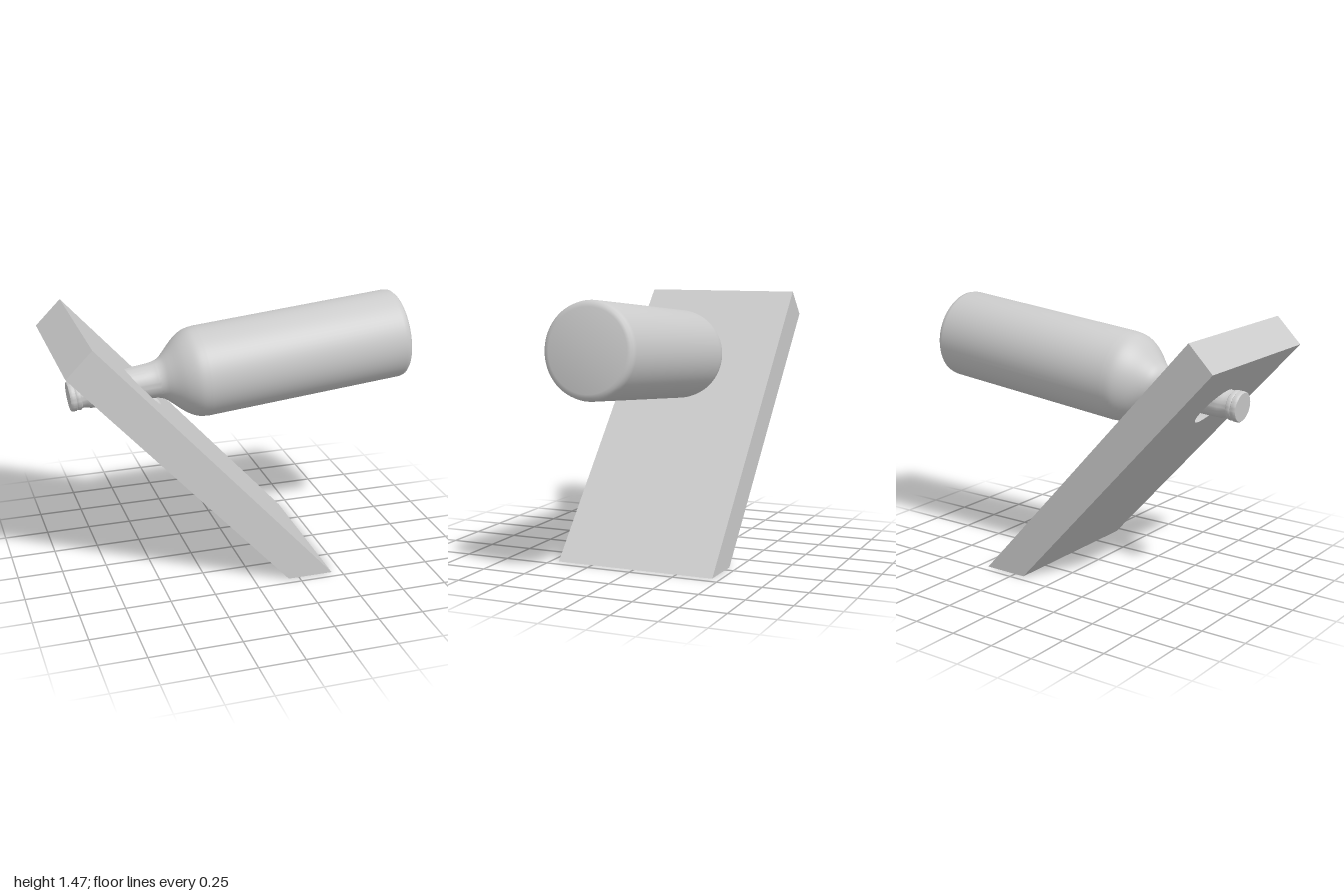
import * as THREE from 'three';
import { toCreasedNormals } from 'three/addons/utils/BufferGeometryUtils.js';

const TILT = THREE.MathUtils.degToRad(5.45); // bottle axis above horizontal
const SLOPE = Math.tan(TILT);
const HALF_WIDTH = 0.455;

// Board faces in side profile, each from foot to top: [x, y]
const FRONT = [[0.445, 0], [-0.86, 1.45]];
const BACK = [[0.19, 0], [-1, 1.31]];

// Point where a line parallel to the bottle axis, at height h over x = 0, meets a board face
function meetFace([[x0, y0], [x1, y1]], h) {
  const m = (y1 - y0) / (x1 - x0);
  const x = (h - y0 + m * x0) / (m - SLOPE);
  return [x, h + SLOPE * x];
}

// Leaning board with a round hole bored along the bottle axis
function makeBoard(material) {
  const shape = new THREE.Shape();
  shape.moveTo(-HALF_WIDTH, 0);
  shape.lineTo(HALF_WIDTH, 0);
  shape.lineTo(HALF_WIDTH, 1.5);
  shape.lineTo(-HALF_WIDTH, 1.5);
  shape.closePath();
  shape.holes.push(new THREE.Path().absarc(0, 1.097, 0.11, 0, Math.PI * 2, true));

  const geometry = new THREE.ExtrudeGeometry(shape, { depth: 1, bevelEnabled: false, curveSegments: 24 });
  const p = geometry.attributes.position;
  for (let i = 0; i < p.count; i++) {
    const across = p.getX(i), h = p.getY(i);
    const face = p.getZ(i) > 0.5 ? FRONT : BACK;
    const isCorner = Math.abs(across) > 0.4;
    const [x, y] = isCorner ? face[h > 0.75 ? 1 : 0] : meetFace(face, h);
    p.setXYZ(i, x, y, -across);
  }
  const mesh = new THREE.Mesh(toCreasedNormals(geometry, 0.5), material);
  mesh.name = 'leaningBoard';
  return mesh;
}

// Bottle turned from a profile of [radius, distance from base]
function makeBottle(material) {
  const shoulder = new THREE.SplineCurve([
    [0.25, 1.16], [0.24, 1.22], [0.205, 1.28], [0.145, 1.345], [0.112, 1.385], [0.098, 1.43], [0.094, 1.49],
  ].map(([r, s]) => new THREE.Vector2(r, s))).getPoints(30);
  const toPoints = (list) => list.map(([r, s]) => new THREE.Vector2(r, s));
  const profile = [
    ...toPoints([[0, 0], [0.215, 0], [0.232, 0.005], [0.245, 0.018], [0.25, 0.04]]),
    ...shoulder,
    ...toPoints([
      [0.09, 1.6], [0.085, 1.74], [0.082, 1.79], [0.074, 1.81], [0.073, 1.835], // neck
      [0.08, 1.84], [0.082, 1.85], [0.08, 1.86], [0.077, 1.864], // lower lip ring
      [0.082, 1.868], [0.083, 1.88], [0.081, 1.893], [0.077, 1.897], [0, 1.897], // upper lip
    ]),
  ];
  const geometry = toCreasedNormals(new THREE.LatheGeometry(profile, 64), 0.7);
  const mesh = new THREE.Mesh(geometry, material);
  mesh.name = 'bottle';
  mesh.position.set(0.973, 1.225, 0);
  mesh.rotation.z = Math.PI / 2 + TILT;
  return mesh;
}

export function createModel() {
  const group = new THREE.Group();
  group.name = 'bottleOnBalancingStand';
  const material = new THREE.MeshStandardMaterial({ color: 0xcccccc });
  group.add(makeBoard(material), makeBottle(material));
  return group;
}
